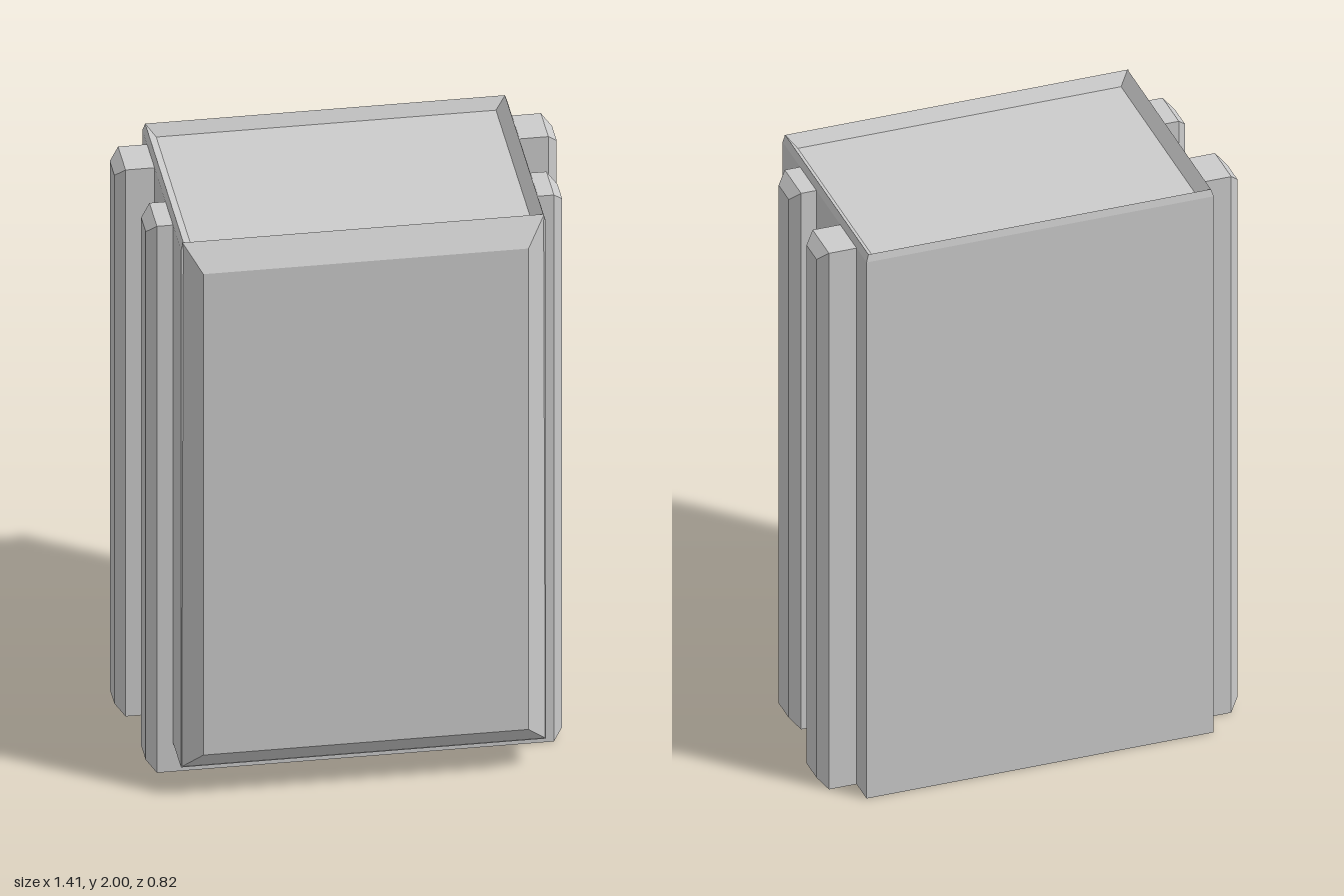
import * as THREE from 'three';

const material = new THREE.MeshStandardMaterial({ color: 0xcccccc, flatShading: true });

// Skins a stack of four-cornered rings and caps both ends.
// Corners run counter-clockwise as seen from the last ring's side.
function loft(name, rings) {
  const pos = [];
  const quad = (a, b, c, d) => pos.push(...a, ...b, ...c, ...a, ...c, ...d);
  for (let r = 0; r + 1 < rings.length; r++) {
    const lo = rings[r], hi = rings[r + 1];
    for (let i = 0; i < 4; i++) {
      const j = (i + 1) % 4;
      quad(lo[i], lo[j], hi[j], hi[i]);
    }
  }
  const first = rings[0], last = rings[rings.length - 1];
  quad(first[3], first[2], first[1], first[0]);
  quad(...last);
  const geometry = new THREE.BufferGeometry();
  geometry.setAttribute('position', new THREE.Float32BufferAttribute(pos, 3));
  geometry.computeVertexNormals();
  const mesh = new THREE.Mesh(geometry, material);
  mesh.name = name;
  return mesh;
}

// Horizontal ring: half width, back z, front z, height
const ringY = (w, back, front, y) =>
  [[-w, y, front], [w, y, front], [w, y, back], [-w, y, back]];
// Ring facing +z: half width at bottom and top, heights, depth
const ringZ = (wLow, wHigh, y0, y1, z) =>
  [[-wLow, y0, z], [wLow, y0, z], [wHigh, y1, z], [-wHigh, y1, z]];
// Ring facing +x: half depth, heights, distance out
const ringX = (d, y0, y1, x) =>
  [[x, y0, d], [x, y0, -d], [x, y1, -d], [x, y1, d]];

export function createModel() {
  const group = new THREE.Group();
  group.name = 'ribbedCase';

  // Main body: stepped foot, straight walls, thin rim and sunken top
  group.add(loft('body', [
    ringY(0.58, -0.41, 0.2, 0),
    ringY(0.58, -0.41, 0.2, 0.105),
    ringY(0.58, -0.41, 0.36, 0.105),
    ringY(0.58, -0.41, 0.36, 1.975),
    ringY(0.572, -0.405, 0.358, 2),
    ringY(0.54, -0.385, 0.33, 1.96),
  ]));

  // Bevelled front panel
  group.add(loft('frontPanel', [
    ringZ(0.58, 0.575, 0.105, 2, 0.358),
    ringZ(0.517, 0.517, 0.172, 1.91, 0.41),
  ]));

  // Two chamfered rails on each side, the rear pair standing out further
  for (const [name, z, out] of [['frontRail', 0.125, 0.662], ['rearRail', -0.243, 0.703]]) {
    for (const side of [1, -1]) {
      const rail = loft(name + (side > 0 ? 'Left' : 'Right'), [
        ringX(0.075, 0, 1.975, 0.56),
        ringX(0.075, 0, 1.975, out - 0.031),
        ringX(0.046, 0.033, 1.942, out),
      ]);
      rail.position.z = z;
      rail.rotation.y = side > 0 ? 0 : Math.PI;
      group.add(rail);
    }
  }
  return group;
}
